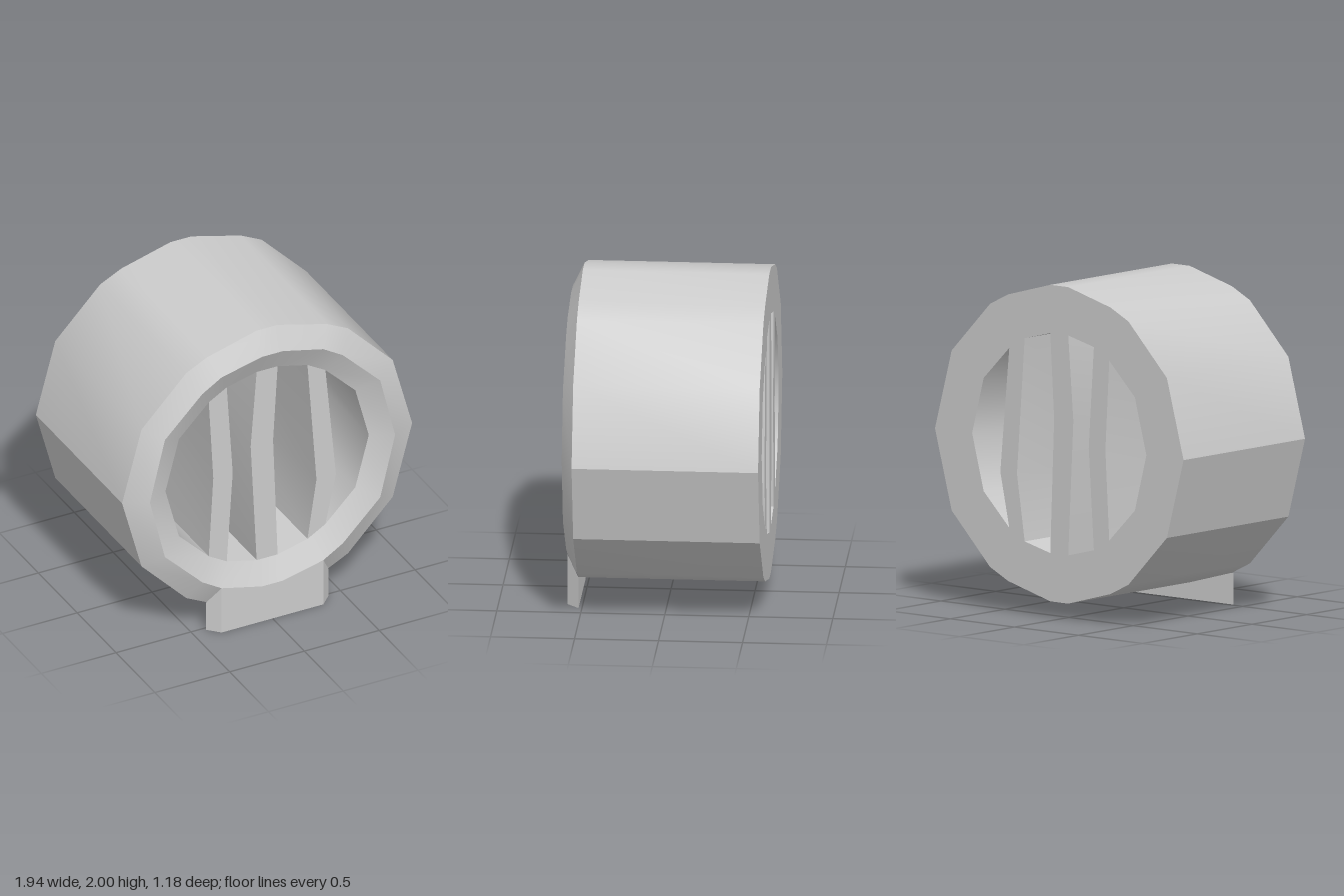
import * as THREE from 'three';

const BACK = -0.59, RIM = 0.52, FRONT = 0.59, MID_Y = 1.05;
const material = new THREE.MeshStandardMaterial({ color: 0xcccccc });

// Closed ring mirrored from one quarter, counterclockwise; [x, height above centre]
function ring(quarter) {
  const up = quarter.map(([x, h]) => [x, MID_Y + h]);
  const down = quarter.slice(1).map(([x, h]) => [x, MID_Y - h]);
  const mirror = (list) => list.map(([x, y]) => [-x, y]).reverse();
  return [...up, ...mirror(up), ...mirror(down.slice().reverse()), ...down.reverse()];
}

const at = (points, z) => points.map(([x, y]) => [x, y, z]);

// Smooth band of quads between two rows of 3D points
function strip(a, b, closed = false) {
  const n = a.length, index = [];
  for (let i = 0; i < (closed ? n : n - 1); i++) {
    const j = (i + 1) % n;
    index.push(i, j, n + j, i, n + j, n + i);
  }
  const geometry = new THREE.BufferGeometry();
  geometry.setAttribute('position', new THREE.Float32BufferAttribute([...a, ...b].flat(), 3));
  geometry.setIndex(index);
  geometry.computeVertexNormals();
  return geometry;
}

// Flat panel at depth z, optionally with holes, facing forward or back
function panel(points, z, holes = [], facingBack = false) {
  const toVec = (list) => list.map(([x, y]) => new THREE.Vector2(x, y));
  const shape = new THREE.Shape(toVec(points));
  shape.holes = holes.map((h) => new THREE.Path(toVec(h)));
  const geometry = new THREE.ShapeGeometry(shape).translate(0, 0, z);
  if (facingBack) {
    geometry.index.array.reverse();
    geometry.computeVertexNormals();
  }
  return geometry;
}

export function createModel() {
  const model = new THREE.Group();
  const part = (name, ...geometries) => {
    const group = new THREE.Group();
    group.name = name;
    geometries.forEach((g) => {
      const mesh = new THREE.Mesh(g, material);
      mesh.name = name;
      group.add(mesh);
    });
    model.add(group);
  };

  const outer = ring([[0.97, 0], [0.84, 0.48], [0.54, 0.79], [0.40, 0.86], [0.07, 0.95]]);
  const lip = ring([[0.82, 0], [0.72, 0.41], [0.47, 0.66], [0.34, 0.74], [0.07, 0.805]]);
  const inner = ring([[0.68, 0], [0.59, 0.34], [0.39, 0.54], [0.27, 0.61], [0.07, 0.66]]);
  const I = (...ids) => ids.map((i) => inner[i]);

  // Barrel wall: smooth above and below, one flat facet on each side
  const wall = (points) => strip(at(points, BACK), at(points, RIM));
  part('barrel',
    wall(outer.slice(0, 10)), wall(outer.slice(9, 11)),
    wall(outer.slice(10, 18)), wall([outer[17], outer[0]]));

  // Bevelled front rim, rising to the lip and falling back to the opening
  part('frontRim',
    strip(at(outer, RIM), at(lip, FRONT), true),
    strip(at(lip, FRONT), at(inner, RIM), true));

  // Bent bars: the bend point of the left and right edge of each
  const bends = [
    [[-0.36, 1.05], [-0.23, 1.05]],
    [[-0.11, 1.20], [0.04, 1.20]],
    [[0.33, 0.84], [0.46, 0.84]],
  ];
  // Each bar by its ring corners: top left, bottom left, bottom right, top right
  const corners = [[7, 11, 12, 6], [5, 13, 14, 4], [3, 15, 16, 2]];
  const edges = corners.map(([tl, bl, br, tr], k) => ({
    left: [inner[tl], bends[k][0], inner[bl]],
    right: [inner[br], bends[k][1], inner[tr]],
  }));
  part('barFronts', ...edges.map((e) => panel([...e.left, ...e.right], RIM)));

  // Slots between the bars, each a loop of ring arcs and bar edges
  const up = (e) => e.slice().reverse();
  const slots = [
    [I(7, 8, 9, 10, 11), up(edges[0].left)],
    [I(5, 6), up(edges[0].right), I(12, 13), up(edges[1].left)],
    [I(3, 4), up(edges[1].right), I(14, 15), up(edges[2].left)],
    [I(16, 17, 0, 1, 2), up(edges[2].right)],
  ];
  part('slotWalls', ...slots.flat().map((piece) => wall(up(piece))));

  // Back plate pierced by the slots
  const holes = slots.map((slot) => slot.flatMap((piece) => piece.slice(0, -1)));
  part('backPlate', panel(outer, BACK, holes, true));

  // Foot: chamfered plate under the front rim
  const chamfer = (a, b) => strip(
    [a, b].map(([x, , z]) => [x, 0, z]), [a, b]);
  const f = 0.34, w = 0.41, top = 0.31, low = 0.19;
  part('foot',
    panel([[-f, 0], [f, 0], [f, top], lip[14], lip[13], [-f, top]], FRONT),
    chamfer([f, top, FRONT], [w, low, RIM]),
    chamfer([-w, low, RIM], [-f, top, FRONT]),
    chamfer([w, low, RIM], [-w, low, RIM]),
    strip([[-w, 0, RIM], [w, 0, RIM]], [[-f, 0, FRONT], [f, 0, FRONT]]));

  return model;
}
